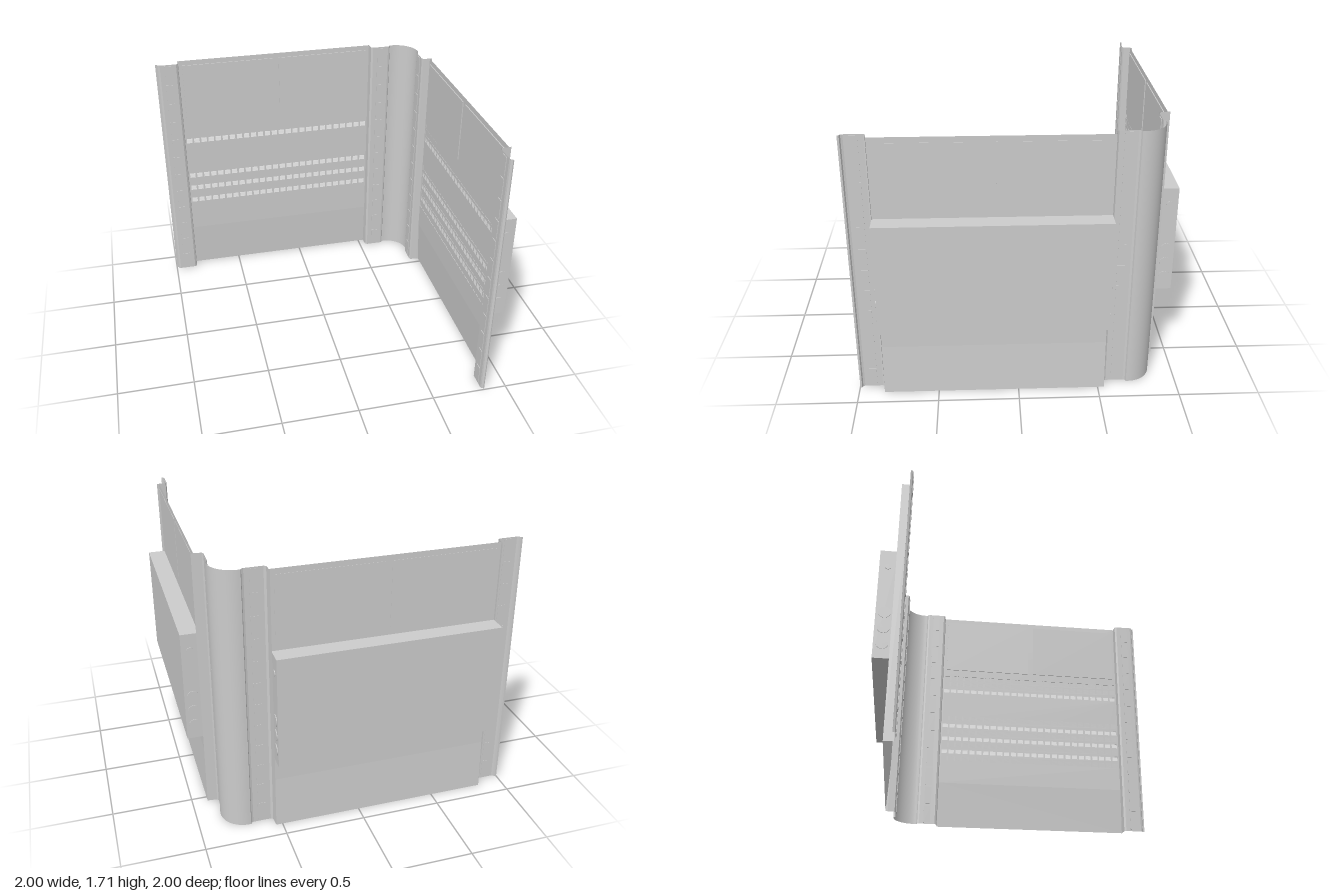
import * as THREE from 'three';

const H = 1.705;        // overall height
const HALF = 0.69;      // half width of a wall panel
const WALL_Z = -0.888;  // wall plane
const RIB_Z = -0.903;   // outermost plane of posts and wall foot

const mat = new THREE.MeshStandardMaterial({ color: 0xcccccc, side: THREE.DoubleSide });

function add(parent, name, geometry) {
  const mesh = new THREE.Mesh(geometry, mat);
  mesh.name = name;
  parent.add(mesh);
  return mesh;
}

// Box given by its limits on each axis
function box(parent, name, x0, x1, y0, y1, z0, z1) {
  const mesh = add(parent, name, new THREE.BoxGeometry(x1 - x0, y1 - y0, z1 - z0));
  mesh.position.set((x0 + x1) / 2, (y0 + y1) / 2, (z0 + z1) / 2);
  return mesh;
}

// Faceted sheet swept between two copies of a profile
function sheet(profile, start, end) {
  const pos = [];
  for (let i = 0; i + 1 < profile.length; i++) {
    const a = start(profile[i]), b = start(profile[i + 1]);
    const c = end(profile[i + 1]), d = end(profile[i]);
    pos.push(...a, ...b, ...c, ...a, ...c, ...d);
  }
  const g = new THREE.BufferGeometry();
  g.setAttribute('position', new THREE.Float32BufferAttribute(pos, 3));
  g.computeVertexNormals();
  return g;
}

function rect(Type, x0, x1, y0, y1) {
  return new Type([[x0, y0], [x1, y0], [x1, y1], [x0, y1]].map(p => new THREE.Vector2(...p)));
}

// Rows of vent openings: centre height, and whether a curved scoop lies behind
const ROWS = [
  [1.185, false], [1.135, false], [1.08, true],
  [0.848, false], [0.79, true], [0.737, false], [0.685, true],
  [0.632, false], [0.58, true], [0.523, false],
];

function makeVentedWall(wing) {
  const shape = rect(THREE.Shape, -HALF, HALF, 0.33, H);
  const columns = 26, pitch = (2 * HALF - 0.01) / columns;
  for (const [y] of ROWS) {
    for (let i = 0; i < columns; i++) {
      const x = (i - (columns - 1) / 2) * pitch;
      shape.holes.push(rect(THREE.Path, x - 0.02, x + 0.02, y - 0.018, y + 0.018));
    }
  }
  add(wing, 'ventedWall', new THREE.ShapeGeometry(shape)).position.z = WALL_Z;

  // Strips behind the openings: flat plates or concave scoops
  for (const [y, scoop] of ROWS) {
    const profile = [];
    for (let i = 0; i <= 6; i++) {
      const t = i / 6;
      const depth = scoop ? 0.004 + 0.026 * Math.sin(Math.PI / 2 * (1 - t) + Math.PI / 2 * t * t) * t : 0.006;
      profile.push([y + 0.022 - 0.044 * (1 - t), WALL_Z - depth]);
    }
    add(wing, scoop ? 'ventScoop' : 'ventPlate',
      sheet(profile, p => [-HALF, ...p], p => [HALF, ...p]));
  }

  // Foot of the wall leaning outward
  add(wing, 'wallFoot', sheet([[0, RIB_Z], [0.33, WALL_Z]],
    p => [HALF, ...p], p => [-HALF, ...p]));

  // Two large plates at the top
  for (const s of [-1, 1]) {
    const x = s * 0.343;
    box(wing, 'upperPlate', x - 0.322, x + 0.322, 1.255, 1.67, WALL_Z - 0.002, WALL_Z + 0.006);
  }
}

function makePost(wing, s) {
  // Stepped plan profile from the wall out to the post's free edge
  const profile = [
    [0.69, WALL_Z], [0.69, RIB_Z], [0.695, -0.842], [0.708, -0.834],
    [0.82, -0.834], [0.832, -0.838], [0.838, -0.85], [0.85, -0.85],
  ];
  add(wing, 'post', sheet(profile, p => [s * p[0], 0, p[1]], p => [s * p[0], H, p[1]]));
  for (let i = 0; i < 12; i++) {
    const y = 0.072 + i * 0.142;
    box(wing, 'postPlate', s * 0.765 - 0.024, s * 0.765 + 0.024,
      y - 0.062, y + 0.062, -0.836, -0.83);
  }
}

function makeDuct(wing) {
  const y0 = 0.495, y1 = 1.208, t = 0.006;
  const inner = WALL_Z - 0.001;
  box(wing, 'ductBack', -HALF, HALF, y0, y1, -1, -1 + t);
  box(wing, 'ductTop', -HALF, HALF, y1 - t, y1, -1, inner);
  box(wing, 'ductBottom', -HALF, HALF, y0, y0 + t, -1, inner);
  for (const s of [-1, 1]) {
    const x = s * (HALF - t / 2);
    box(wing, 'ductEnd', x - t / 2, x + t / 2, y0, y1, -1, inner);
    // Round ports on the end face
    for (const [y, r] of [[0.59, 0.036], [0.69, 0.036], [0.79, 0.036], [1.1, 0.02]]) {
      const port = add(wing, 'ductPort', new THREE.CylinderGeometry(r, r, 0.008, 24));
      port.rotation.z = Math.PI / 2;
      port.position.set(s * HALF, y, -0.948);
    }
  }
}

function makeWing(name) {
  const wing = new THREE.Group();
  wing.name = name;
  makeVentedWall(wing);
  makeDuct(wing);
  for (const s of [-1, 1]) makePost(wing, s);
  return wing;
}

export function createModel() {
  const model = new THREE.Group();
  model.name = 'cornerWall';

  const back = makeWing('backWing');
  back.position.x = -0.15;
  const side = makeWing('sideWing');
  side.rotation.y = -Math.PI / 2;
  side.position.z = 0.15;
  model.add(back, side);

  // Rounded corner joining the wings
  const corner = add(model, 'cornerCurve',
    new THREE.CylinderGeometry(0.15, 0.15, H, 12, 1, true, Math.PI / 2, Math.PI / 2));
  corner.position.set(0.7, H / 2, -0.7);
  return model;
}
